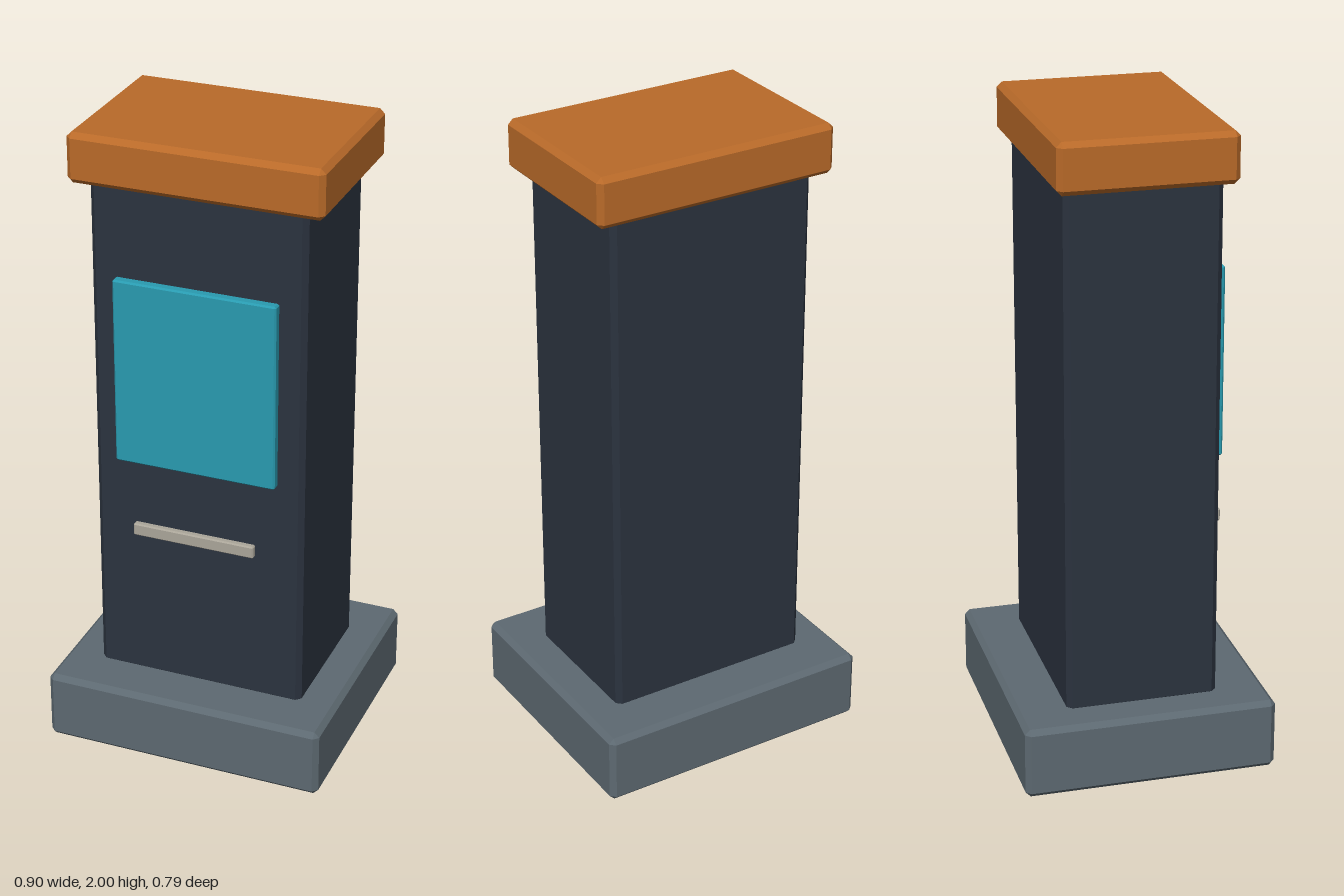
import * as THREE from 'three';
import { ConvexGeometry } from 'three/addons/geometries/ConvexGeometry.js';

// Box with a single flat chamfer on every edge
function chamferBox(w, h, d, c) {
  const half = [w / 2, h / 2, d / 2];
  const points = [];
  for (const sx of [-1, 1]) for (const sy of [-1, 1]) for (const sz of [-1, 1]) {
    for (let axis = 0; axis < 3; axis++) {
      // full reach on one axis, pulled in by the chamfer on the other two
      const p = half.map((v, i) => (i === axis ? v : v - c));
      points.push(new THREE.Vector3(sx * p[0], sy * p[1], sz * p[2]));
    }
  }
  return new ConvexGeometry(points);
}

export function createModel() {
  const group = new THREE.Group();

  function part(name, color, [w, h, d], [x, y, z], chamfer) {
    const material = new THREE.MeshStandardMaterial({ color, flatShading: true });
    const mesh = new THREE.Mesh(chamferBox(w, h, d, chamfer), material);
    mesh.name = name;
    mesh.position.set(x, y, z);
    group.add(mesh);
  }

  // Plinth, column and overhanging cap
  part('base', 0x5d6971, [0.9, 0.225, 0.785], [0, 0.1125, 0], 0.016);
  part('column', 0x2b333f, [0.67, 1.645, 0.472], [0, 1.0325, 0], 0.016);
  part('cap', 0xb96a29, [0.785, 0.155, 0.535], [0, 1.9225, 0], 0.016);

  // Display panel and the slot trim below it, on the front
  part('screen', 0x299bb0, [0.51, 0.595, 0.032], [0, 1.2675, 0.252], 0.005);
  part('slotTrim', 0xaaa599, [0.39, 0.04, 0.022], [0, 0.75, 0.272], 0.004);

  return group;
}
